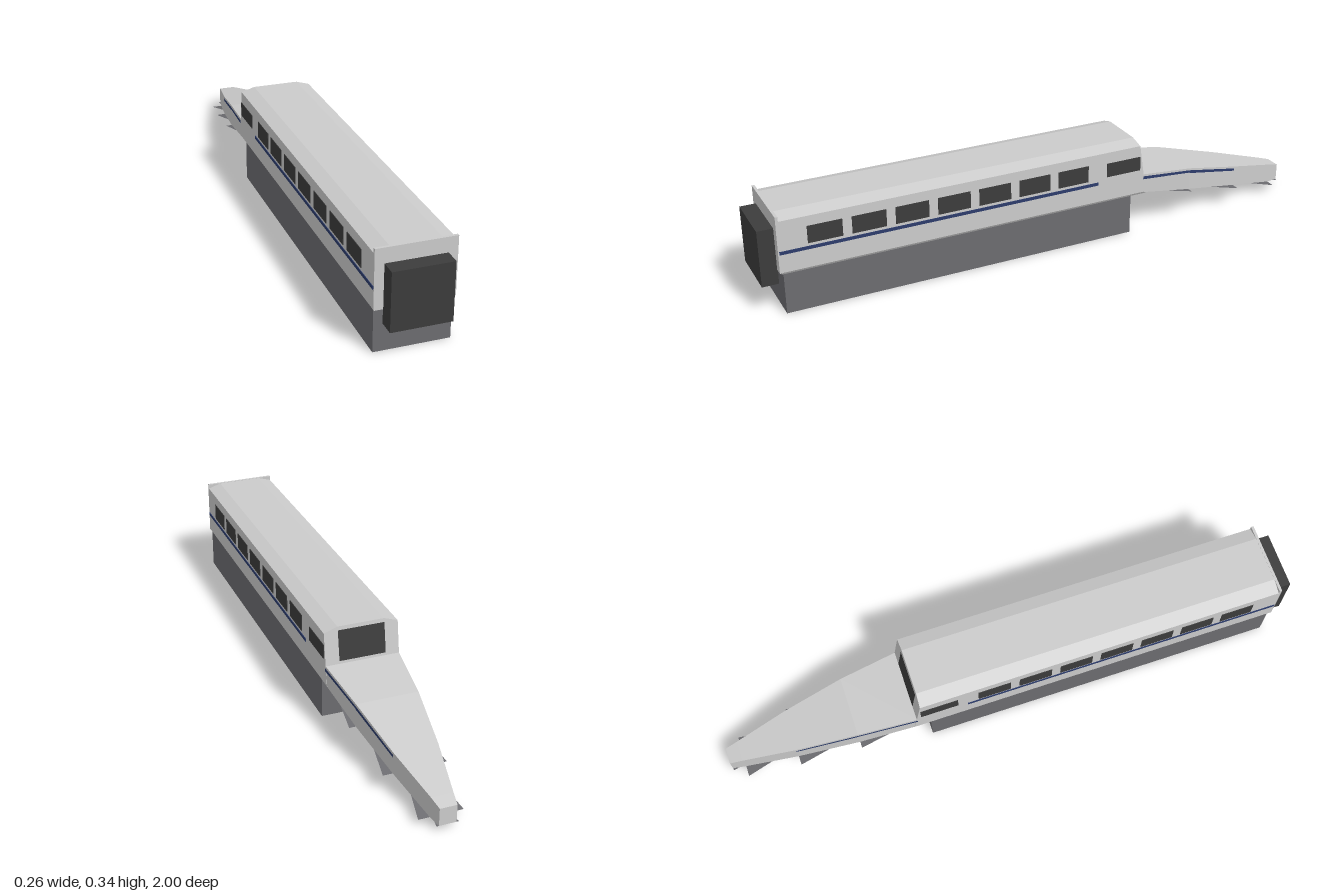
import * as THREE from 'three';

const mat = (color, side = THREE.FrontSide) =>
  new THREE.MeshStandardMaterial({ color, side, flatShading: true });
const shell = mat(0xcccccc, THREE.DoubleSide);
const glass = mat(0x3c3c3c);
const navy = mat(0x2c3c6c, THREE.DoubleSide);
const under = mat(0x6c6c70, THREE.DoubleSide);

// Nose stations: z, half width, top, bottom
const stations = [
  [-0.35, 0.127, 0.215, 0.147],
  [-0.555, 0.105, 0.187, 0.106],
  [-0.77, 0.073, 0.137, 0.063],
  [-0.955, 0.036, 0.092, 0.022],
  [-1, 0.028, 0.08, 0.02],
];

// z of the slanted cab face at a given height
const cabZ = (y) => -0.352 + (y - 0.215) * 0.16;

export function createModel() {
  const group = new THREE.Group();

  const add = (name, geometry, material) => {
    const mesh = new THREE.Mesh(geometry, material);
    mesh.name = name;
    group.add(mesh);
    return mesh;
  };

  // Box given by its extents
  const box = (name, material, x0, x1, y0, y1, z0, z1) =>
    add(name, new THREE.BoxGeometry(x1 - x0, y1 - y0, z1 - z0), material)
      .position.set((x0 + x1) / 2, (y0 + y1) / 2, (z0 + z1) / 2);

  // Surface made of four-cornered faces
  const quads = (name, material, faces) => {
    const pos = faces.flatMap(([a, b, c, d]) => [a, b, c, a, c, d].flat());
    const geometry = new THREE.BufferGeometry();
    geometry.setAttribute('position', new THREE.Float32BufferAttribute(pos, 3));
    geometry.computeVertexNormals();
    add(name, geometry, material);
  };

  // Carriage body: chamfered roof section, rear end cut to the cab slope
  const section = new THREE.Shape([
    [-0.122, 0.14], [0.122, 0.14], [0.127, 0.148], [0.127, 0.325],
    [0.08, 0.34], [-0.08, 0.34], [-0.127, 0.325], [-0.127, 0.148],
  ].map(([x, y]) => new THREE.Vector2(x, y)));
  const body = new THREE.ExtrudeGeometry(section, { depth: 1, bevelEnabled: false });
  const p = body.attributes.position;
  for (let i = 0; i < p.count; i++) {
    p.setZ(i, p.getZ(i) > 0.5 ? 0.94 : cabZ(p.getY(i)));
  }
  body.computeVertexNormals();
  add('carriageBody', body, shell);

  // End wall, gangway and underframe
  box('endWall', shell, -0.127, 0.127, 0.147, 0.341, 0.938, 0.947);
  box('gangway', glass, -0.097, 0.097, 0.097, 0.291, 0.945, 1);
  box('underframe', under, -0.122, 0.122, 0, 0.147, -0.305, 0.935);

  // Windscreen lying on the cab slope
  const screenZ = (y) => cabZ(y) - 0.002;
  quads('windscreen', mat(0x3c3c3c, THREE.DoubleSide), [[
    [0.08, 0.225, screenZ(0.225)], [-0.08, 0.225, screenZ(0.225)],
    [-0.08, 0.328, screenZ(0.328)], [0.08, 0.328, screenZ(0.328)],
  ]]);

  // Side windows and stripes
  for (const s of [-1, 1]) {
    const side = s > 0 ? 'left' : 'right';
    const panel = (name, material, y0, y1, z0, z1) =>
      box(name, material, s * 0.1275 - 0.0015, s * 0.1275 + 0.0015, y0, y1, z0, z1);
    for (let i = 0; i < 7; i++) {
      const z = 0.794 - i * 0.145;
      panel(side + 'Window' + (i + 1), glass, 0.232, 0.291, z - 0.057, z + 0.057);
    }
    panel(side + 'CabWindow', glass, 0.235, 0.285, -0.336, -0.205);
    panel(side + 'Stripe', navy, 0.211, 0.222, -0.172, 0.943);

    // Stripe carried along the nose
    const edge = ([z, w, top], drop) => [s * (w + 0.0015), top - drop, z];
    quads(side + 'NoseStripe', navy, [0, 1].map((i) => {
      const [a, b] = [stations[i], stations[i + 1]];
      return [edge(a, 0.018), edge(b, 0.016), edge(b, 0.007), edge(a, 0.007)];
    }));
  }

  // Nose: top, sides and tip
  const faces = [];
  const floor = [];
  for (let i = 0; i < stations.length - 1; i++) {
    const [z0, w0, t0, b0] = stations[i];
    const [z1, w1, t1, b1] = stations[i + 1];
    faces.push([[-w0, t0, z0], [w0, t0, z0], [w1, t1, z1], [-w1, t1, z1]]);
    faces.push([[w0, b0, z0], [w1, b1, z1], [w1, t1, z1], [w0, t0, z0]]);
    faces.push([[-w0, t0, z0], [-w1, t1, z1], [-w1, b1, z1], [-w0, b0, z0]]);
    // Floor plates flare towards the tip, past the tapering sides
    floor.push([[-w1, b0, z0], [-w0, b1, z1], [w0, b1, z1], [w1, b0, z0]]);
  }
  const [z, w, t, b] = stations[stations.length - 1];
  faces.push([[w, b, z], [-w, b, z], [-w, t, z], [w, t, z]]);
  quads('nose', shell, faces);
  quads('noseFloorPlates', under, floor);

  return group;
}
